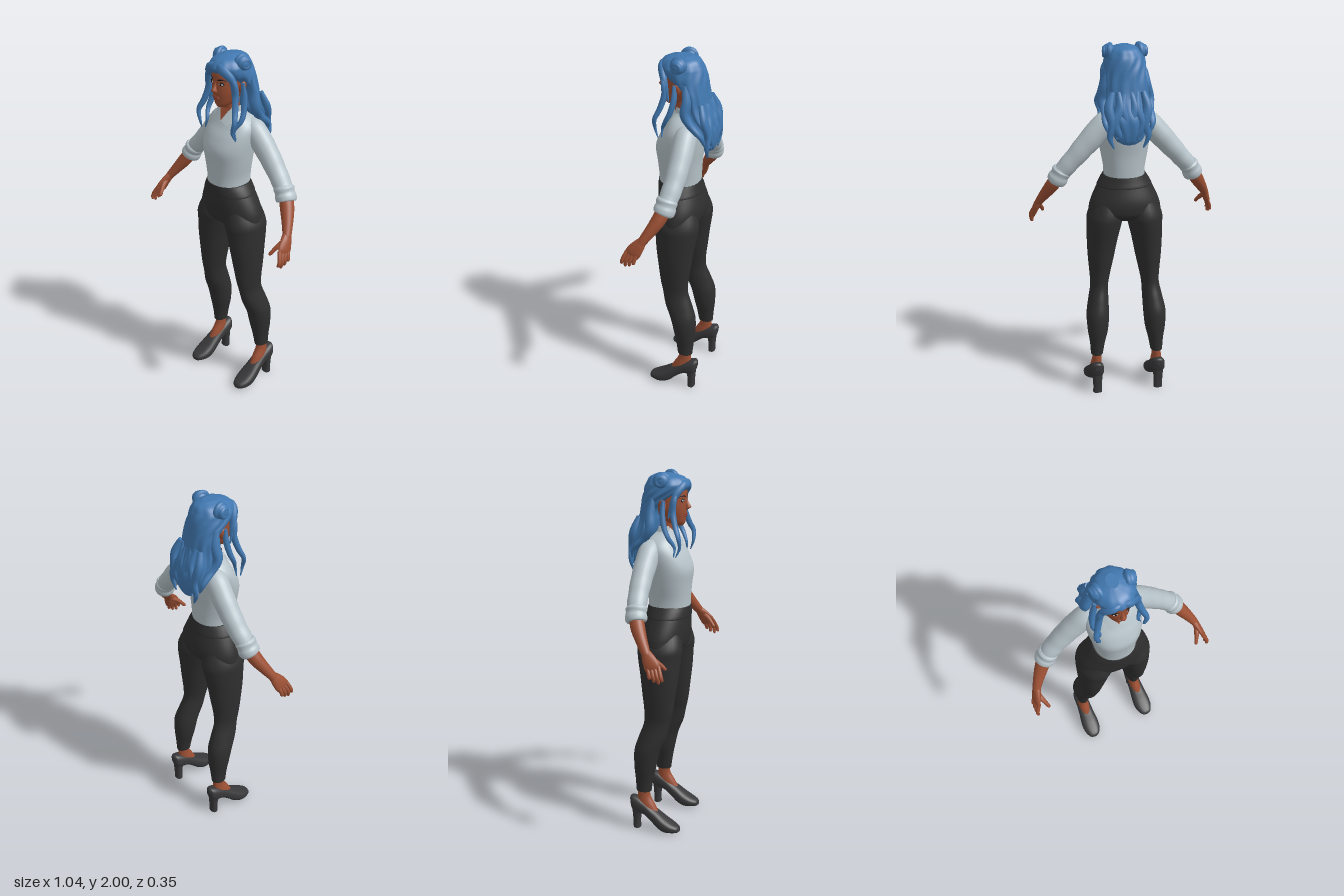
import * as THREE from 'three';

const V3 = (x, y, z) => new THREE.Vector3(x, y, z);
const X = V3(1, 0, 0), Y = V3(0, 1, 0), Z = V3(0, 0, 1);
const paint = (name, color, side = THREE.FrontSide) => {
  const m = new THREE.MeshStandardMaterial({ color, side });
  m.name = name;
  return m;
};

// Smooth skin over rows of [x, y, z, radiusAcross, radiusAlongRef]; rings follow the path unless an axis is fixed.
function loft(rows, { axis = null, ref = Z, n = 24, steps = 5, sq = 1, wave = () => 1 } = {}) {
  const path = new THREE.CatmullRomCurve3(rows.map(r => V3(r[0], r[1], r[2])), false, 'catmullrom');
  const size = new THREE.CatmullRomCurve3(rows.map(r => V3(r[3], r[4], 0)), false, 'catmullrom');
  const m = (rows.length - 1) * steps, pos = [], idx = [];
  const run = path.getPoint(1).sub(path.getPoint(0));
  const bend = c => Math.sign(c) * Math.abs(c) ** sq;
  for (let i = 0; i <= m; i++) {
    const t = i / m, c = path.getPoint(t), r = size.getPoint(t);
    const T = axis ? axis.clone().multiplyScalar(Math.sign(run.dot(axis))) : path.getTangent(t);
    const V = ref.clone().addScaledVector(T, -ref.dot(T)).normalize();
    const U = V.clone().cross(T);
    for (let j = 0; j < n; j++) {
      const a = j / n * Math.PI * 2, w = wave(a, t);
      const p = c.clone().addScaledVector(U, Math.max(r.x, 0.001) * bend(Math.cos(a)) * w)
        .addScaledVector(V, Math.max(r.y, 0.001) * bend(Math.sin(a)) * w);
      pos.push(p.x, p.y, p.z);
    }
  }
  for (let i = 0; i < m; i++) for (let j = 0; j < n; j++) {
    const k = (j + 1) % n, a = i * n + j, b = i * n + k, c = a + n, d = b + n;
    idx.push(a, b, d, a, d, c);
  }
  // separate end caps keep their rims crisp
  for (const end of [0, m]) {
    const base = pos.length / 3, c = path.getPoint(end / m);
    pos.push(...pos.slice(end * n * 3, (end + 1) * n * 3), c.x, c.y, c.z);
    for (let j = 0; j < n; j++) {
      const a = base + j, b = base + (j + 1) % n;
      idx.push(base + n, ...(end ? [a, b] : [b, a]));
    }
  }
  const g = new THREE.BufferGeometry();
  g.setAttribute('position', new THREE.Float32BufferAttribute(pos, 3));
  g.setIndex(idx);
  g.computeVertexNormals();
  return g;
}

// Flat fan through a few corners
function plate(points) {
  const idx = [];
  for (let i = 1; i < points.length - 1; i++) idx.push(0, i, i + 1);
  const g = new THREE.BufferGeometry();
  g.setAttribute('position', new THREE.Float32BufferAttribute(points.flat(), 3));
  g.setIndex(idx);
  g.computeVertexNormals();
  return g;
}

export function createModel() {
  const root = new THREE.Group();
  root.name = 'woman';
  const skin = paint('skin', 0x9c5034), skinSheet = paint('skin', 0x9c5034, THREE.DoubleSide);
  const hair = paint('hair blue', 0x4178b0);
  const shirt = paint('shirt', 0xb6c3c9), shirtSheet = paint('shirt', 0xb6c3c9, THREE.DoubleSide);
  const trousers = paint('trousers', 0x2f2f30), leather = paint('shoe leather', 0x38383a);
  const dark = paint('eye dark', 0x1e1614), white = paint('eye white', 0xd8d4d0), lip = paint('lips', 0x833c2b);

  const add = (name, geo, mat) => {
    const mesh = new THREE.Mesh(geo, mat);
    mesh.name = name;
    root.add(mesh);
    return mesh;
  };
  const ball = (name, mat, p, s) => {
    const b = add(name, new THREE.SphereGeometry(1, 20, 14), mat);
    b.position.set(...p);
    b.scale.set(...s);
    return b;
  };
  // tapered strand of hair through a few points
  const lock = (name, pts, r) => add(name, loft(pts.map((p, i) => {
    const w = r * [0.6, 1][Math.min(i, 1)] * (1 - 0.85 * (i / (pts.length - 1)) ** 2.5);
    return [...p, w, w * 0.85];
  }), { n: 10, steps: 5, wave: (a, t) => 1 + 0.1 * Math.sin(3 * a + 6 * t) }), hair);

  // Shirt body
  add('shirtBody', loft([
    [0, 1.25, .036, .112, .112], [0, 1.32, .035, .114, .114], [0, 1.4, .036, .128, .119],
    [0, 1.48, .034, .14, .128], [0, 1.55, .018, .147, .118], [0, 1.6, .002, .143, .103],
    [0, 1.64, -.004, .115, .088], [0, 1.67, -.002, .072, .068], [0, 1.69, 0, .053, .055],
  ], { axis: Y, n: 40, sq: 0.92 }), shirt);

  // Collar and open neck
  const stand = add('collarStand', new THREE.CylinderGeometry(.055, .066, .05, 28, 1, true, .75, Math.PI * 2 - 1.5), shirtSheet);
  stand.position.set(0, 1.685, .002);
  add('openNeck', plate([[-.036, 1.7, .06], [0, 1.634, .094], [.036, 1.7, .06]]), skinSheet);
  add('neck', loft([[0, 1.6, 0, .05, .05], [0, 1.66, .01, .046, .05], [0, 1.72, .016, .043, .05], [0, 1.79, .02, .046, .055]], { axis: Y }), skin);

  // Head
  add('head', loft([
    [0, 1.713, .078, .018, .03], [0, 1.73, .064, .042, .055], [0, 1.76, .045, .06, .079], [0, 1.8, .03, .074, .099],
    [0, 1.85, .022, .08, .107], [0, 1.9, .02, .08, .108], [0, 1.94, .015, .068, .09], [0, 1.965, .01, .035, .05],
  ], { axis: Y, n: 36 }), skin);
  add('nose', loft([
    [0, 1.862, .12, .006, .007], [0, 1.835, .129, .008, .01], [0, 1.813, .137, .014, .016], [0, 1.802, .13, .015, .011], [0, 1.797, .125, .006, .006],
  ], { axis: Y, n: 14 }), skin);
  ball('upperLip', lip, [0, 1.775, .124], [.025, .005, .008]);
  ball('lowerLip', lip, [0, 1.766, .123], [.021, .006, .008]);

  // Hair over the crown and down the back
  add('hairMass', loft([
    [0, 1.985, .01, .03, .04], [0, 1.967, .02, .075, .09], [0, 1.937, .024, .1, .113], [0, 1.914, .019, .106, .118],
    [0, 1.885, .001, .11, .107], [0, 1.85, -.026, .109, .086], [0, 1.8, -.057, .107, .062], [0, 1.74, -.065, .11, .065],
    [0, 1.68, -.08, .116, .068], [0, 1.62, -.112, .11, .058], [0, 1.56, -.128, .092, .043], [0, 1.51, -.137, .066, .026], [0, 1.485, -.14, .03, .012],
  ], { axis: Y, n: 60, wave: (a, t) => 1 + (0.012 + 0.05 * t) * Math.sin(11 * a + 3 * Math.sin(9 * t)) }), hair);
  [-.085, -.05, -.015, .025, .06, .095].forEach((x, i) => {
    const low = 1.468 + .018 * ((i * 2) % 5), sway = i % 2 ? .012 : -.012;
    lock('backLock', [[x * .9, 1.76, -.11], [x + sway, 1.68, -.135], [x * 1.1 - sway, 1.6, -.152], [x + sway, 1.53, -.152], [x - sway, low, -.148]], .026);
  });

  for (const s of [1, -1]) {
    // Face details
    ball('eyeLiner', dark, [.033 * s, 1.849, .1175], [.018, .01, .005]).rotation.y = .28 * s;
    ball('eyeWhite', white, [.033 * s, 1.848, .119], [.015, .0065, .005]).rotation.y = .28 * s;
    ball('iris', dark, [.032 * s, 1.848, .1225], [.0065, .0065, .003]);
    add('eyebrow', loft([[.013 * s, 1.866, .126, .002, .002], [.034 * s, 1.873, .121, .004, .003], [.055 * s, 1.867, .1, .002, .002]], { n: 8 }), dark);
    ball('ear', skin, [.088 * s, 1.822, .022], [.014, .034, .021]).rotation.set(-.15, 0, -.2 * s);

    // Collar flap
    add('collarFlap', plate([[.04 * s, 1.708, .047], [.004 * s, 1.637, .097], [.05 * s, 1.615, .1], [.074 * s, 1.665, .052]]), shirtSheet);

    // Bun wound from a coil
    ball('bun', hair, [.084 * s, 1.95, .015], [.036, .042, .042]);
    for (const [x, R, tube] of [[.078, .032, .016], [.105, .019, .014]]) {
      const coil = add('bunCoil', new THREE.TorusGeometry(R, tube, 10, 24), hair);
      coil.position.set(x * s, 1.95, .015);
      coil.rotation.y = Math.PI / 2 - .2 * s;
    }

    // Face-framing and shoulder locks
    lock('partingLock', [[0, 1.94, .115], [.04 * s, 1.926, .119], [.078 * s, 1.888, .098], [.094 * s, 1.84, .078], [.103 * s, 1.76, .06]], .026);
    lock('frontLock', [[.075 * s, 1.9, .1], [.095 * s, 1.85, .088], [.1 * s, 1.79, .085], [.117 * s, 1.72, .103], [.135 * s, 1.665, .125], [.122 * s, 1.61, .128], [.13 * s, 1.562, .11]], .02);
    lock('innerLock', [[.098 * s, 1.85, .03], [.108 * s, 1.78, .03], [.122 * s, 1.71, .045], [.125 * s, 1.66, .068], [.104 * s, 1.61, .094], [.118 * s, 1.56, .095]], .018);
    lock('sideLock', [[.095 * s, 1.86, -.03], [.105 * s, 1.78, -.04], [.122 * s, 1.71, -.035], [.118 * s, 1.65, -.07], [.125 * s, 1.6, -.125], [.11 * s, 1.545, -.14]], .032);

    // Sleeve and rolled cuff
    add('sleeve', loft([
      [.07 * s, 1.6, -.03, .05, .05], [.12 * s, 1.575, -.038, .063, .06], [.2 * s, 1.49, -.043, .061, .058],
      [.28 * s, 1.4, -.04, .053, .054], [.345 * s, 1.325, -.03, .048, .051], [.37 * s, 1.285, -.022, .046, .048],
    ], { steps: 8, wave: (a, t) => 1 + .025 * t * Math.sin(38 * t + Math.cos(a)) }), shirt);
    add('cuff', loft([
      [.343 * s, 1.338, -.03, .046, .05], [.349 * s, 1.326, -.028, .054, .057], [.359 * s, 1.307, -.026, .05, .054],
      [.368 * s, 1.289, -.023, .055, .058], [.378 * s, 1.27, -.019, .053, .055], [.38 * s, 1.266, -.018, .043, .045],
    ]), shirt);

    // Forearm and hand
    add('forearm', loft([
      [.365 * s, 1.3, -.025, .036, .038], [.4 * s, 1.24, -.002, .037, .038], [.435 * s, 1.185, .03, .03, .031],
      [.465 * s, 1.135, .062, .022, .025], [.472 * s, 1.12, .07, .02, .025],
    ]), skin);
    add('palm', loft([
      [.462 * s, 1.14, .06, .019, .022], [.476 * s, 1.11, .08, .019, .034], [.489 * s, 1.075, .103, .016, .042], [.495 * s, 1.052, .115, .011, .038],
    ], { n: 18 }), skin);
    [[.147, .166, 1.0], [.126, .146, .988], [.106, .122, .994], [.086, .098, 1.012]].forEach(([z, tip, y]) =>
      add('finger', loft([[.488 * s, 1.075, z - .008, .01, .011], [.503 * s, 1.043, z + .006, .011, .011], [.51 * s, 1.018, (z + tip) / 2 + .006, .01, .01], [.506 * s, y + .004, tip, .008, .008], [.505 * s, y, tip, .002, .002]], { n: 10 }), skin));
    add('thumb', loft([[.472 * s, 1.112, .085, .014, .014], [.462 * s, 1.09, .118, .014, .014], [.45 * s, 1.068, .142, .011, .011], [.441 * s, 1.047, .16, .009, .009], [.44 * s, 1.043, .162, .002, .002]], { n: 10, ref: X }), skin);

    // Trouser leg
    add('trouserLeg', loft([
      [.095 * s, 1.15, .02, .07, .1], [.107 * s, 1.06, .017, .1, .124], [.115 * s, 1, .015, .097, .12], [.127 * s, .9, .019, .085, .107],
      [.135 * s, .8, .019, .073, .094], [.142 * s, .7, .019, .058, .081], [.147 * s, .63, .011, .05, .074], [.156 * s, .55, -.012, .057, .078],
      [.164 * s, .47, -.04, .064, .073], [.166 * s, .38, -.051, .058, .063], [.17 * s, .3, -.055, .043, .051], [.174 * s, .23, -.057, .034, .043],
    ], { axis: Y, n: 28 }), trousers);

    // Foot and heeled shoe
    add('ankle', loft([
      [.174 * s, .25, -.057, .025, .033], [.175 * s, .2, -.056, .026, .037], [.177 * s, .15, -.042, .032, .05], [.179 * s, .1, -.025, .034, .06],
    ], { axis: Y }), skin);
    add('shoe', loft([
      [.178 * s, .17, -.135, .014, .018], [.178 * s, .152, -.12, .034, .043], [.178 * s, .14, -.085, .04, .045], [.178 * s, .124, -.045, .041, .04],
      [.179 * s, .09, 0, .045, .042], [.18 * s, .066, .03, .049, .046], [.181 * s, .042, .07, .053, .041], [.182 * s, .03, .11, .048, .029],
      [.183 * s, .023, .145, .031, .018], [.183 * s, .02, .156, .012, .009],
    ], { axis: Z, ref: Y, n: 28, sq: .8 }), leather);
    add('shoeHeel', loft([
      [.178 * s, .14, -.088, .034, .038], [.178 * s, .09, -.097, .028, .025], [.178 * s, .04, -.098, .025, .02], [.178 * s, 0, -.097, .026, .02],
    ], { axis: Y, sq: .8 }), leather);
  }

  // Trouser hips and waistband
  add('trouserHips', loft([
    [0, 1.276, .037, .117, .114], [0, 1.22, .03, .15, .121], [0, 1.15, .02, .184, .128], [0, 1.1, .016, .199, .126],
    [0, 1.06, .016, .195, .115], [0, 1.03, .016, .13, .08],
  ], { axis: Y, n: 44 }), trousers);
  add('waistband', loft([
    [0, 1.279, .037, .119, .116], [0, 1.25, .034, .137, .12], [0, 1.222, .03, .152, .123], [0, 1.216, .03, .148, .118],
  ], { axis: Y, n: 44 }), trousers);

  return root;
}
